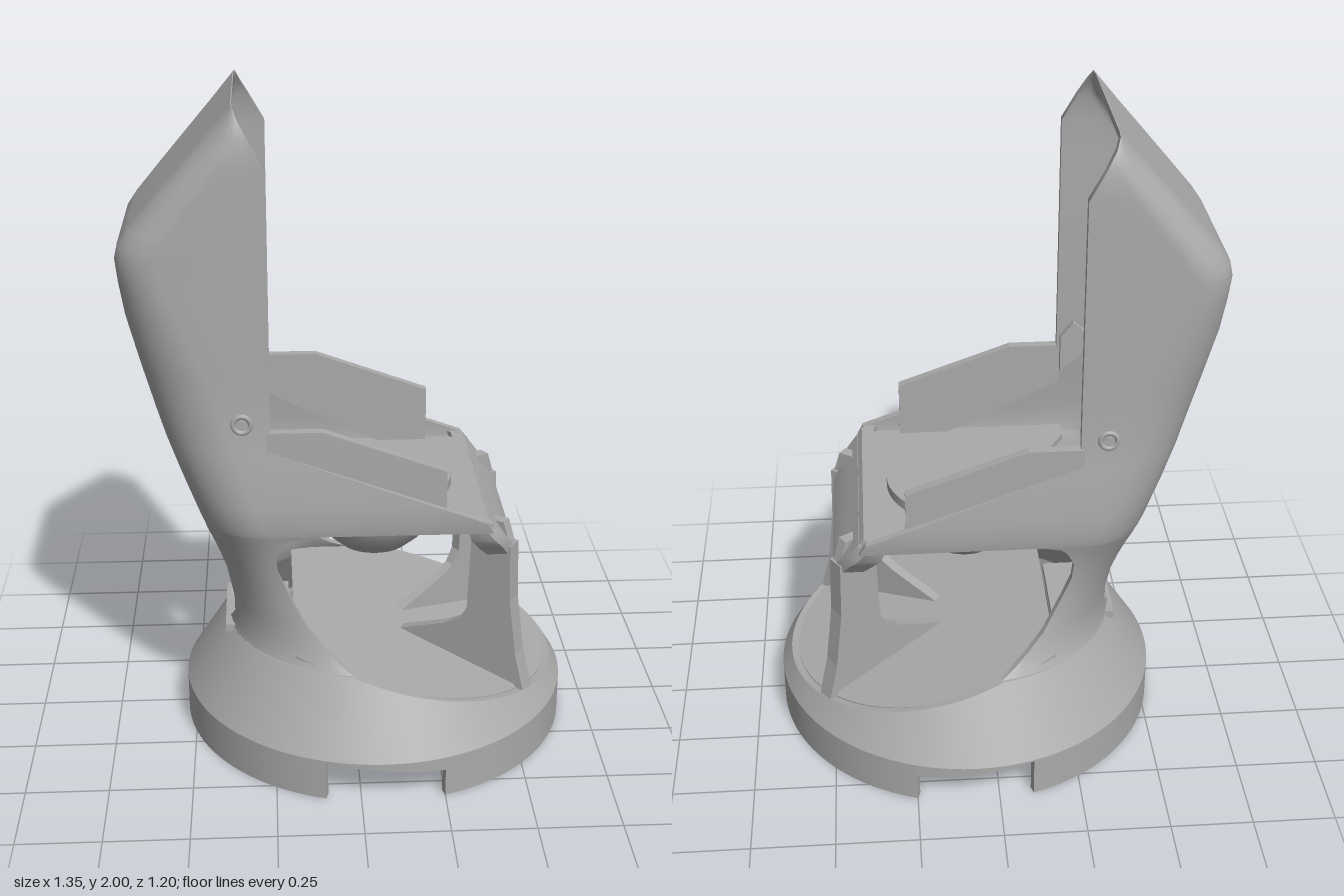
import * as THREE from 'three';
import { toCreasedNormals } from 'three/addons/utils/BufferGeometryUtils.js';

const grey = new THREE.MeshStandardMaterial({ color: 0xaaaaaa, side: THREE.DoubleSide });
grey.name = 'matte grey';
const CX = 0.07; // axis of the round base

export function createModel() {
  const model = new THREE.Group();

  const add = (name, geometry, parent = model) => {
    const mesh = new THREE.Mesh(geometry, grey);
    mesh.name = name;
    parent.add(mesh);
    return mesh;
  };

  // Walled surface: rows of outer points and matching rows of inner points
  const wall = (outer, inner) => {
    const n = outer[0].length, m = 2 * n, pos = [], idx = [];
    outer.forEach((row, r) => {
      row.forEach(p => pos.push(...p));
      [...inner[r]].reverse().forEach(p => pos.push(...p));
    });
    const quad = (a, b, c, d) => idx.push(a, b, c, a, c, d);
    for (let r = 0; r < outer.length - 1; r++)
      for (let i = 0; i < m; i++) {
        const j = (i + 1) % m;
        quad(r * m + i, r * m + j, (r + 1) * m + j, (r + 1) * m + i);
      }
    const e = (outer.length - 1) * m;
    for (let i = 0; i < n - 1; i++) {
      quad(i, m - 1 - i, m - 2 - i, i + 1);
      quad(e + i, e + i + 1, e + m - 2 - i, e + m - 1 - i);
    }
    const g = new THREE.BufferGeometry();
    g.setAttribute('position', new THREE.Float32BufferAttribute(pos, 3));
    g.setIndex(idx);
    return toCreasedNormals(g, 0.6);
  };

  // Extruded outline in x,y, centred on z = 0
  const plate = (pts, depth) => new THREE.ExtrudeGeometry(
    new THREE.Shape(pts.map(p => new THREE.Vector2(...p))), { depth, bevelEnabled: false }
  ).translate(0, 0, -depth / 2);

  // Horizontal slab from an x,z outline
  const slab = (pts, y, h) => new THREE.ExtrudeGeometry(
    new THREE.Shape(pts.map(([x, z]) => new THREE.Vector2(x, -z))), { depth: h, bevelEnabled: false }
  ).rotateX(-Math.PI / 2).translate(0, y, 0);

  // Both sides, built at +z and mirrored
  const mirrored = (name, build) => {
    const side = new THREE.Group();
    side.name = name + 'Left';
    build(side);
    const other = side.clone();
    other.name = name + 'Right';
    other.scale.z = -1;
    model.add(side, other);
  };

  // Round base: plain ring with a notch on each side, then a slanted skirt
  const radius = y => 0.6 - Math.max(0, y - 0.13) * 0.64;
  const rimY = x => Math.min(0.34, 0.33 - 0.233 * x);
  const band = (a0, a1, low, high, steps, t = 0.025) => {
    const rows = off => [0, 0.33, 0.67, 1].map(v => Array.from({ length: steps + 1 }, (_, i) => {
      const a = a0 + (a1 - a0) * i / steps, x = CX + 0.58 * Math.cos(a);
      const y = low(x) + (high(x) - low(x)) * v, r = radius(y) - off;
      return [CX + r * Math.cos(a), y, r * Math.sin(a)];
    }));
    return wall(rows(0), rows(t));
  };
  const aFront = Math.acos(0.18 / 0.6), aRear = Math.acos(-0.175 / 0.6);
  const ringTop = () => 0.13;
  add('baseRingFront', band(-aFront, aFront, () => 0, ringTop, 40));
  add('baseRingRear', band(aRear, 2 * Math.PI - aRear, () => 0, ringTop, 48));
  for (const s of [1, -1])
    add('ringNotchEdge', band(s * aFront, s * aRear, x => 0.125 - 0.11 * (x + 0.1), ringTop, 10));
  add('baseSkirt', band(0, 2 * Math.PI, ringTop, rimY, 96));

  // Slanted floor of the base
  const floorPts = Array.from({ length: 61 }, (_, i) => {
    const a = (i / 30 - 1) * 2.18;
    const r = radius(rimY(CX + 0.53 * Math.cos(a))) - 0.015;
    return [CX + r * Math.cos(a), r * Math.sin(a)];
  });
  const floor = slab(floorPts, 0, 0.02), fp = floor.attributes.position;
  for (let i = 0; i < fp.count; i++) fp.setY(i, fp.getY(i) + 0.305 - 0.233 * fp.getX(i));
  floor.computeVertexNormals();
  add('baseFloor', floor);
  add('rearSlotSill', new THREE.BoxGeometry(0.2, 0.025, 0.28).translate(-0.3, 0.34, 0));

  // Half cross-section of the body: back wall, rounded corner, side wall
  const halfPath = ([y, xb, xf, w, rx, rz, zc = 0], t) => {
    const b = Math.min(xb + t, xf - 0.002);
    w -= t; rx = Math.max(rx - t, 0.002); rz = Math.max(rz - t, 0.002);
    const zs = w - rz, pts = [];
    const a0 = zc > zs ? Math.asin((zc - zs) / rz) : 0;
    const a1 = xf >= b + rx ? Math.PI / 2 : Math.acos((b + rx - xf) / rx);
    for (let i = 0; i < 3; i++) pts.push([b + rx * (1 - Math.cos(a0)), y, zc + Math.max(0, zs - zc) * i / 3]);
    for (let i = 0; i <= 12; i++) {
      const a = a0 + (a1 - a0) * i / 12;
      pts.push([b + rx * (1 - Math.cos(a)), y, zs + rz * Math.sin(a)]);
    }
    const last = pts[pts.length - 1];
    for (let i = 1; i <= 3; i++) pts.push([last[0] + (xf - last[0]) * i / 3, y, last[2]]);
    return pts;
  };
  const bodyHalf = rows => wall(rows.map(r => halfPath(r, 0)), rows.map(r => halfPath(r, 0.025)));

  // Rows: height, back x, front x, half width, corner radii, half width of the rear slot
  const lower = [
    [0.33, -0.40, 0, 0.465, 0.47, 0.465], [0.36, -0.392, -0.05, 0.44, 0.45, 0.43, 0.09],
    [0.40, -0.385, -0.10, 0.415, 0.42, 0.39, 0.13], [0.45, -0.38, -0.15, 0.385, 0.37, 0.33, 0.13],
    [0.55, -0.395, -0.205, 0.345, 0.28, 0.26, 0.13], [0.62, -0.415, -0.235, 0.335, 0.25, 0.22, 0.13],
    [0.68, -0.435, -0.24, 0.338, 0.22, 0.2, 0.12], [0.72, -0.45, -0.22, 0.345, 0.21, 0.19, 0.08],
    [0.74, -0.455, -0.2, 0.35, 0.2, 0.19], [0.756, -0.46, -0.12, 0.355, 0.2, 0.19],
  ];
  const upper = [
    [0.755, -0.46, 0.40, 0.358, 0.2, 0.19], [0.79, -0.472, 0.38, 0.365, 0.2, 0.19],
    [0.85, -0.495, 0.216, 0.362, 0.2, 0.19], [0.92, -0.52, 0.024, 0.357, 0.2, 0.18],
    [1.02, -0.555, -0.25, 0.345, 0.2, 0.17], [1.1, -0.58, -0.25, 0.337, 0.2, 0.17],
    [1.25, -0.62, -0.25, 0.335, 0.19, 0.16], [1.4, -0.655, -0.25, 0.335, 0.16, 0.14],
    [1.5, -0.67, -0.25, 0.333, 0.13, 0.13], [1.57, -0.676, -0.25, 0.333, 0.12, 0.12],
    [1.61, -0.667, -0.25, 0.333, 0.12, 0.12], [1.65, -0.64, -0.25, 0.333, 0.12, 0.12],
    [1.75, -0.555, -0.25, 0.333, 0.11, 0.11], [1.84, -0.477, -0.25, 0.333, 0.1, 0.1],
    [1.92, -0.409, -0.295, 0.328, 0.08, 0.1], [1.97, -0.366, -0.323, 0.31, 0.04, 0.07],
    [2.0, -0.341, -0.336, 0.28, 0.005, 0.05],
  ];

  mirrored('bodySide', side => {
    add('lowerRearShell', bodyHalf(lower), side);
    add('upperShroud', bodyHalf(upper), side);
    // Raised fin along the deck edge
    add('deckFin', plate([[-0.26, 0.95], [-0.26, 1.08], [-0.1, 1.08], [0.26, 0.95], [0.26, 0.775], [0.1, 0.775]], 0.03)
      .translate(0, 0, 0.33), side);
    // Clip inside the shroud and pivot eyelet outside
    add('innerClip', plate([[-0.33, 1.06], [-0.26, 1.0], [-0.26, 1.12], [-0.3, 1.17], [-0.35, 1.13]], 0.025)
      .translate(0, 0, 0.302), side);
    add('pivotEyelet', new THREE.TorusGeometry(0.025, 0.008, 8, 24).translate(-0.33, 1.105, 0.336), side);
    add('pivotPin', new THREE.CylinderGeometry(0.013, 0.013, 0.02, 16).rotateX(Math.PI / 2)
      .translate(-0.33, 1.105, 0.332), side);
    // Radial front pillar with a flared gusset
    const pillar = add('frontPillar', plate([
      [0.06, 0.27], [0.16, 0.31], [0.27, 0.355], [0.32, 0.385], [0.345, 0.43], [0.355, 0.69], [0.40, 0.75],
      [0.46, 0.75], [0.49, 0.66], [0.495, 0.5], [0.52, 0.32], [0.555, 0.17], [0.3, 0.2],
    ], 0.035).translate(0, 0, 0), side);
    pillar.position.x = CX;
    pillar.rotation.y = -0.6;
    add('pillarFlange', plate([[0.455, 0.68], [0.49, 0.68], [0.495, 0.5], [0.52, 0.32], [0.56, 0.17],
      [0.535, 0.17], [0.49, 0.32], [0.465, 0.5]], 0.055), pillar);
  });

  // Deck with an open gap behind it
  add('deck', slab([[-0.27, 0.335], [-0.27, 0.27], [-0.2, 0.15], [-0.2, -0.15], [-0.27, -0.27], [-0.27, -0.335],
    [0.40, -0.335], [0.40, 0.335]], 0.755, 0.02));

  // Sloping front lip of the deck
  const lipRows = [[0.655, 0.42, 0.482, 0.295], [0.69, 0.39, 0.463, 0.32], [0.73, 0.365, 0.433, 0.352], [0.793, 0.345, 0.385, 0.362]];
  const lipEdge = k => lipRows.map(r => [-1, -0.9, 0.9, 1].map(s =>
    [r[k] - (Math.abs(s) === 1 ? 0.03 : 0), r[0], s * r[3]]));
  add('frontLip', wall(lipEdge(2), lipEdge(1)));

  // Rounded cup below the deck and its round lid
  const cup = [[0, 0.56], [0.075, 0.56], [0.11, 0.575], [0.155, 0.615], [0.187, 0.675], [0.202, 0.72], [0.208, 0.757]];
  add('cup', toCreasedNormals(new THREE.LatheGeometry(cup.map(p => new THREE.Vector2(...p)), 48), 0.6).translate(CX, 0, 0));
  add('cupLid', new THREE.CylinderGeometry(0.24, 0.24, 0.035, 64).translate(CX, 0.788, 0));

  // Bracket under the floor
  for (const z of [-0.11, 0.11])
    add('bracketSide', plate([[-0.1, 0], [0.24, 0], [0.24, 0.075], [-0.03, 0.105], [-0.1, 0.115]], 0.025).translate(0, 0, z));
  add('bracketBar', new THREE.BoxGeometry(0.03, 0.08, 0.22).translate(0.22, 0.04, 0));
  add('bracketPost', new THREE.BoxGeometry(0.05, 0.33, 0.22).translate(-0.07, 0.165, 0));

  return model;
}
